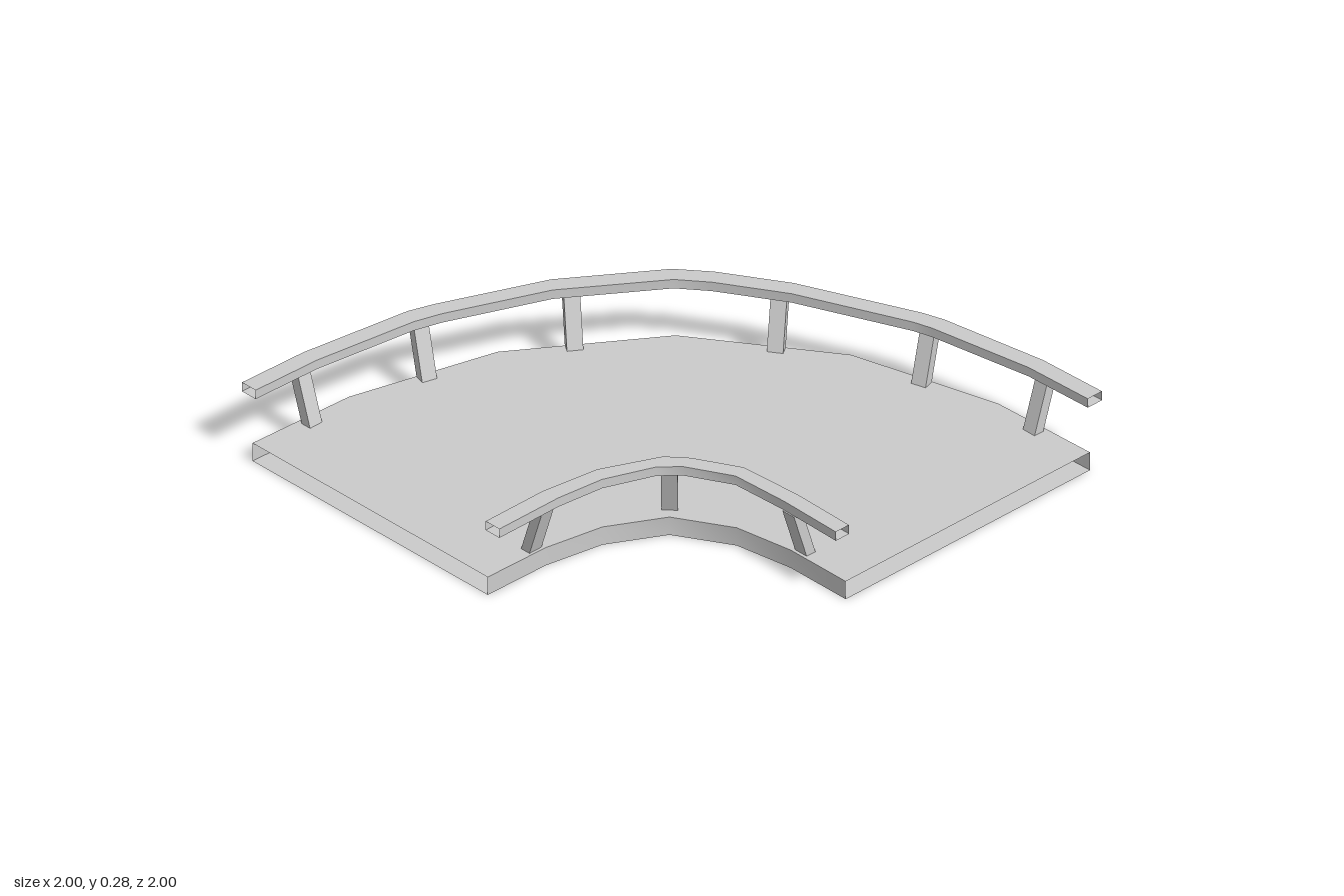
import * as THREE from 'three';

const material = new THREE.MeshStandardMaterial({ color: 0xcccccc, side: THREE.DoubleSide });

// Open-ended rectangular tube between two plan curves ([x, z] points, outer on the left of travel)
function curvedBar(name, outer, inner, y0, y1) {
  const positions = [], indices = [];
  const section = (i) => [
    [outer[i][0], y0, outer[i][1]],
    [outer[i][0], y1, outer[i][1]],
    [inner[i][0], y1, inner[i][1]],
    [inner[i][0], y0, inner[i][1]],
  ];
  for (let side = 0; side < 4; side++) {
    const base = positions.length / 3;
    for (let i = 0; i < outer.length; i++) {
      const s = section(i);
      positions.push(...s[side], ...s[(side + 1) % 4]);
      if (i === outer.length - 1) continue;
      const p = base + i * 2;
      indices.push(p, p + 1, p + 3, p, p + 3, p + 2);
    }
  }
  const geometry = new THREE.BufferGeometry();
  geometry.setAttribute('position', new THREE.Float32BufferAttribute(positions, 3));
  geometry.setIndex(indices);
  geometry.computeVertexNormals();
  const mesh = new THREE.Mesh(geometry, material);
  mesh.name = name;
  return mesh;
}

// Post whose top leans outwards along local z
const BOTTOM = 0.07, TOP = 0.25, LEAN = 0.058;
function postGeometry() {
  const h = TOP - BOTTOM;
  const g = new THREE.BoxGeometry(0.055, h, 0.04).toNonIndexed();
  const p = g.attributes.position;
  for (let i = 0; i < p.count; i++) p.setZ(i, p.getZ(i) + LEAN * (p.getY(i) / h + 0.5));
  g.computeVertexNormals();
  return g;
}

export function createModel() {
  const model = new THREE.Group();
  model.name = 'curvedWalkway';

  // Deck slab
  const deckOuter = [[-0.95, 1], [-0.93, 0.58], [-0.785, 0.04], [-0.45, -0.45], [0.035, -0.785], [0.58, -0.93], [1, -0.945]];
  const deckInner = [[0.165, 1], [0.17, 0.74], [0.21, 0.52], [0.32, 0.32], [0.52, 0.205], [0.74, 0.17], [1, 0.17]];
  model.add(curvedBar('deck', deckOuter, deckInner, 0, BOTTOM));

  // Handrails
  model.add(curvedBar('outerHandrail',
    [[-1, 1], [-0.99, 0.73], [-0.93, 0.31], [-0.9, 0.22], [-0.74, -0.16], [-0.51, -0.49], [-0.4, -0.58],
      [-0.17, -0.72], [0.25, -0.9], [0.33, -0.925], [0.73, -0.99], [1, -1]],
    [[-0.935, 1], [-0.925, 0.73], [-0.87, 0.34], [-0.84, 0.24], [-0.69, -0.12], [-0.46, -0.45], [-0.36, -0.53],
      [-0.13, -0.67], [0.27, -0.84], [0.34, -0.86], [0.73, -0.925], [1, -0.935]],
    TOP, 0.285));
  model.add(curvedBar('innerHandrail',
    [[0.155, 1], [0.155, 0.74], [0.185, 0.52], [0.28, 0.31], [0.35, 0.25], [0.51, 0.165], [0.75, 0.15], [1, 0.155]],
    [[0.22, 1], [0.22, 0.73], [0.24, 0.55], [0.31, 0.37], [0.37, 0.305], [0.53, 0.22], [0.75, 0.21], [1, 0.215]],
    TOP, 0.285));

  // Leaning posts: x, z of the foot, then the outward direction
  const geometry = postGeometry();
  const addPost = (name, x, z, nx, nz) => {
    const post = new THREE.Mesh(geometry, material);
    post.name = name;
    post.position.set(x, (BOTTOM + TOP) / 2, z);
    post.rotation.y = Math.atan2(nx, nz);
    model.add(post);
  };
  for (const [x, z, nx, nz] of [[0.775, -0.902, 0, -1], [0.315, -0.835, -0.27, -0.96], [-0.16, -0.63, -0.55, -0.83]]) {
    addPost('outerPost', x, z, nx, nz);
    addPost('outerPost', z, x, nz, nx); // mirrored across the diagonal
  }
  addPost('innerPost', 0.775, 0.138, 0, 1);
  addPost('innerPost', 0.138, 0.775, 1, 0);
  addPost('innerPost', 0.277, 0.277, 1, 1);

  return model;
}
